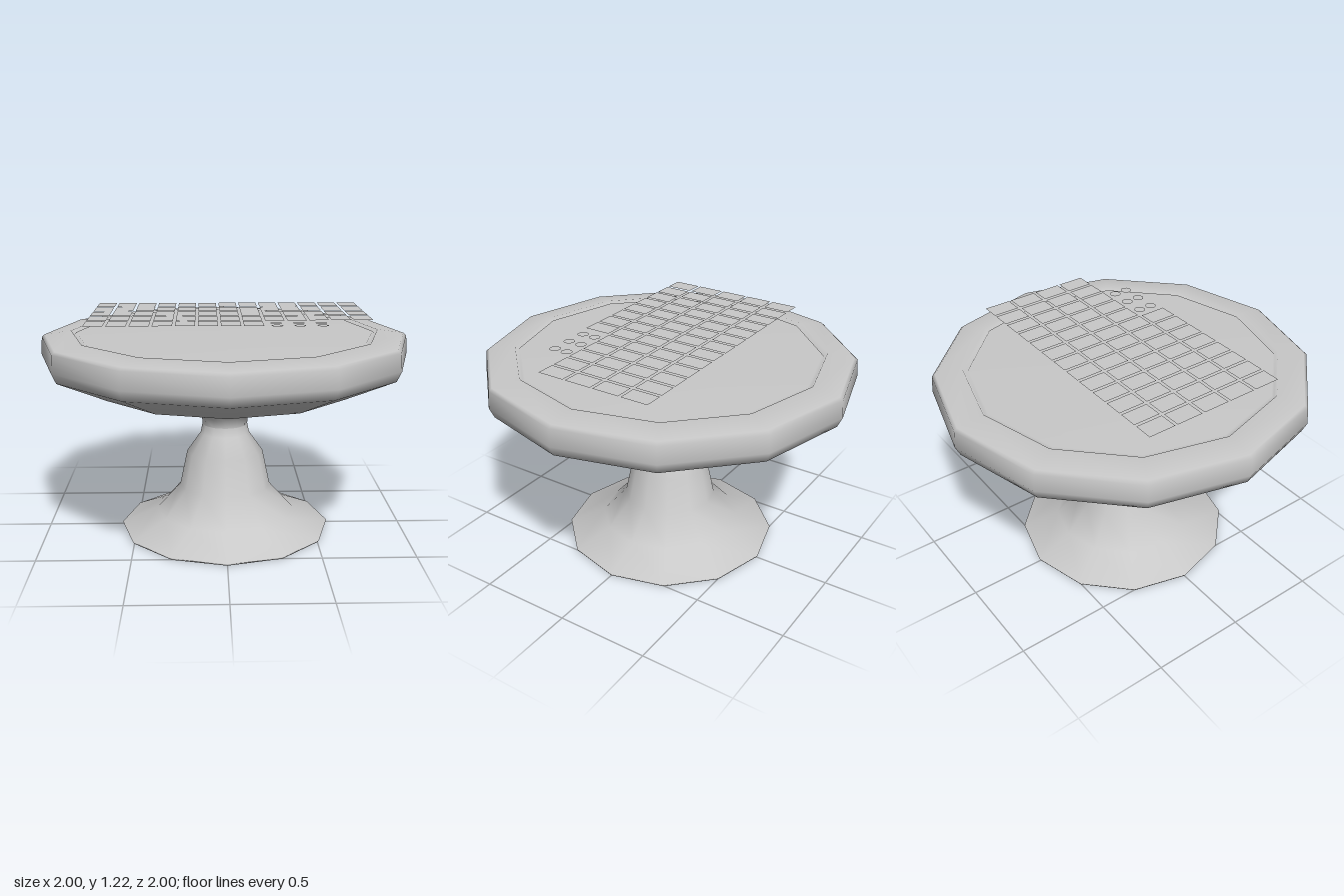
import * as THREE from 'three';

const SIDES = 12;

export function createModel() {
  const model = new THREE.Group();
  const grey = new THREE.MeshStandardMaterial({ color: 0xc8c8c8, side: THREE.DoubleSide });
  grey.name = 'light grey';

  const add = (parent, name, geometry) => {
    const mesh = new THREE.Mesh(geometry, grey);
    mesh.name = name;
    parent.add(mesh);
    return mesh;
  };
  const lathe = (name, profile) => add(model, name,
    new THREE.LatheGeometry(profile.map(([r, y]) => new THREE.Vector2(r, y)), SIDES));

  // Flared foot with a shallow recess below, rising into the stem
  lathe('pedestal', [
    [0, 0.025], [0.56, 0.02], [0.58, 0], [0.587, 0.012], [0.385, 0.1],
    [0.253, 0.245], [0.212, 0.44], [0.135, 0.55], [0.125, 0.6],
  ]);

  // Wide bowl, rounded rim, narrow groove and slightly domed top
  lathe('tableTop', [
    [0.125, 0.6], [0.128, 0.645], [0.17, 0.68], [0.245, 0.718], [0.705, 0.82],
    [0.975, 0.945], [1, 1], [0.992, 1.09], [0.975, 1.105],
    [0.832, 1.124], [0.818, 1.1], [0.805, 1.115], [0, 1.122],
  ]);

  // Floating grid of flat tiles; the last row is shorter
  const tiles = new THREE.Group();
  tiles.name = 'tiles';
  model.add(tiles);
  const tile = new THREE.PlaneGeometry(0.1, 0.147).rotateX(-Math.PI / 2);
  for (let row = 0; row < 5; row++) {
    for (let col = 0; col < (row < 4 ? 13 : 8); col++) {
      add(tiles, 'tile', tile).position.set(-0.666 + col * 0.1146, 1.217, -0.306 + row * 0.1615);
    }
  }

  // Two rows of small round discs beside the short row
  const discs = new THREE.Group();
  discs.name = 'discs';
  model.add(discs);
  const disc = new THREE.CircleGeometry(0.03, 16).rotateX(-Math.PI / 2);
  for (const z of [0.304, 0.38]) {
    for (let i = 0; i < 3; i++) {
      add(discs, 'disc', disc).position.set(0.254 + i * 0.1146, 1.212, z);
    }
  }
  return model;
}
